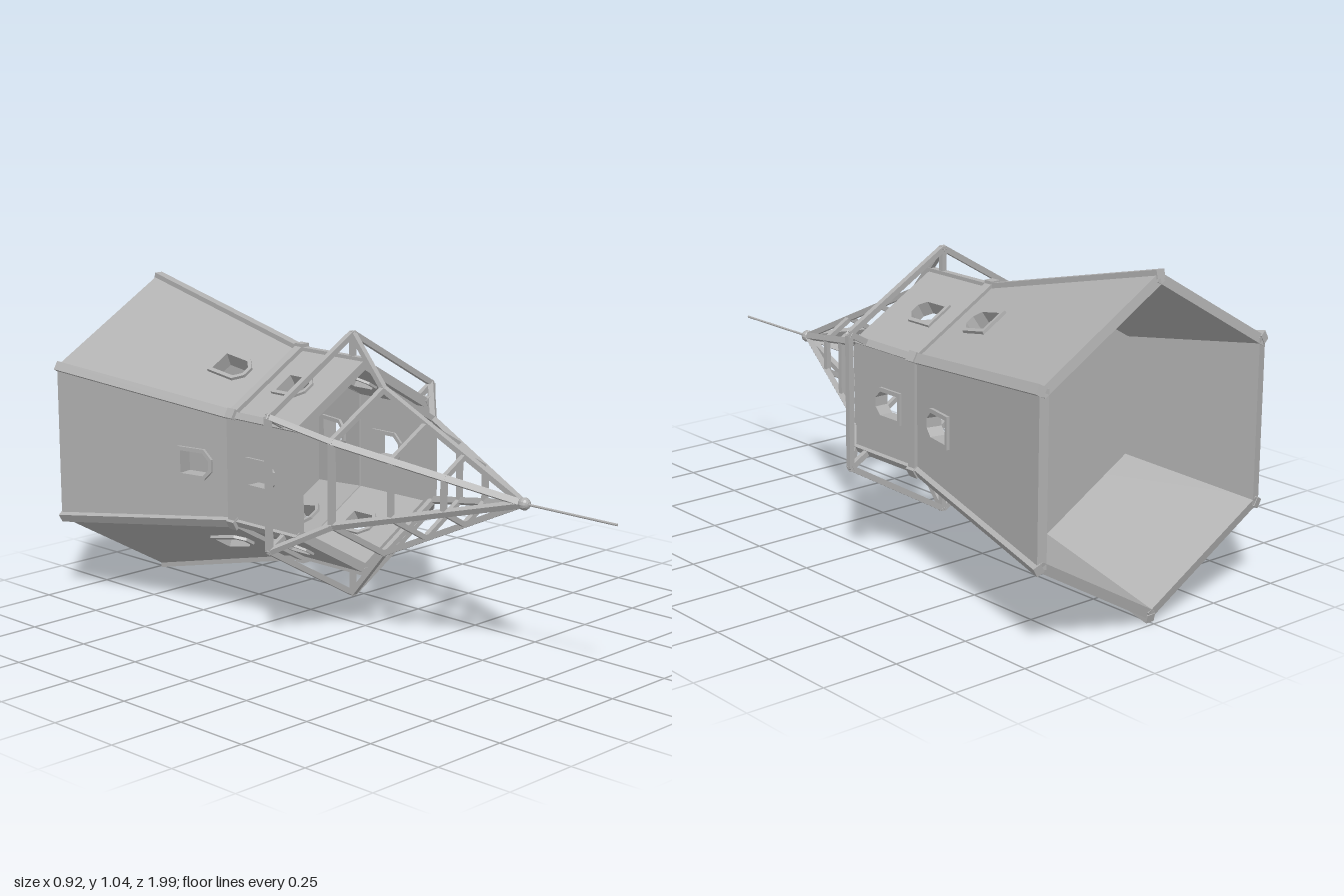
import * as THREE from 'three';

const STEP = Math.PI / 3;
const V = (x, y, z) => new THREE.Vector3(x, y, z);
// Point at radius r and height h along the hexagon corner k
const corner = (k, r, h) => V(r * Math.sin(k * STEP), h, r * Math.cos(k * STEP));

export function createModel() {
  const grey = new THREE.MeshStandardMaterial({ color: 0xb0b0b0, flatShading: true });
  grey.name = 'stone grey';
  const model = new THREE.Group();
  model.name = 'hexagonalTower';
  // The tower is built upright, then laid down with its spire to the front
  const tower = new THREE.Group();
  tower.name = 'tower';
  tower.rotation.x = Math.PI / 2;
  tower.position.y = 0.523;
  model.add(tower);

  const add = (name, geo, parent = tower) => {
    const m = new THREE.Mesh(geo, grey);
    m.name = name;
    parent.add(m);
    return m;
  };

  // Rectangular bar from a to b; side gives the direction of its width
  function bar(name, a, b, side, w, d) {
    const dir = b.clone().sub(a);
    const len = dir.length();
    dir.normalize();
    const z = side.clone().cross(dir).normalize();
    const x = dir.clone().cross(z).normalize();
    const mid = a.clone().add(b).multiplyScalar(0.5);
    const geo = new THREE.BoxGeometry(w, len, d);
    geo.applyMatrix4(new THREE.Matrix4().makeBasis(x, dir, z).setPosition(mid));
    return add(name, geo);
  }

  // Arched window outline; v0 is the sill, v1 the crown
  function arch(target, w, v0, v1) {
    const c = w * 0.3;
    target.moveTo(-w / 2, v0);
    target.lineTo(w / 2, v0);
    target.lineTo(w / 2, v1 - c);
    target.lineTo(w / 2 - c, v1);
    target.lineTo(-w / 2 + c, v1);
    target.lineTo(-w / 2, v1 - c);
    target.closePath();
    return target;
  }

  // Hexagonal storey of six pierced wall panels with window frames
  function storey(name, r0, h0, r1, h1, thick, sill, crown, proud) {
    const ap = Math.cos(STEP / 2);
    const inset = (r0 - r1) * ap;
    const len = Math.hypot(h1 - h0, inset);
    const wall = new THREE.Shape([
      new THREE.Vector2(-r0 / 2, 0), new THREE.Vector2(r0 / 2, 0),
      new THREE.Vector2(r1 / 2, len), new THREE.Vector2(-r1 / 2, len),
    ]);
    wall.holes.push(arch(new THREE.Path(), 0.075, sill, crown));
    const wallGeo = new THREE.ExtrudeGeometry(wall, { depth: thick, bevelEnabled: false });
    wallGeo.translate(0, 0, -thick);
    const frame = arch(new THREE.Shape(), 0.1, sill - 0.012, crown + 0.012);
    frame.holes.push(arch(new THREE.Path(), 0.074, sill, crown));
    const frameGeo = new THREE.ExtrudeGeometry(frame, { depth: thick + 2 * proud, bevelEnabled: false });
    frameGeo.translate(0, 0, -thick - proud);
    for (let k = 0; k < 6; k++) {
      const side = new THREE.Group();
      side.name = name + 'Side';
      side.rotation.y = (k + 0.5) * STEP;
      const panel = new THREE.Group();
      panel.name = name + 'Panel';
      panel.position.set(0, h0, r0 * ap);
      panel.rotation.x = -Math.atan2(inset, h1 - h0);
      side.add(panel);
      tower.add(side);
      add(name + 'Wall', wallGeo, panel);
      add(name + 'WindowFrame', frameGeo, panel);
    }
  }
  storey('lower', 0.514, -0.984, 0.348, -0.285, 0.03, 0.51, 0.62, 0.01);
  storey('upper', 0.348, -0.285, 0.348, 0, 0.03, 0.075, 0.178, 0.008);

  // Floor inside the lower storey
  const floor = add('floor', new THREE.CylinderGeometry(0.385, 0.385, 0.01, 6));
  floor.position.y = -0.54;

  // Horizontal hexagonal frames
  function ring(name, r, h, w, d) {
    for (let k = 0; k < 6; k++) bar(name, corner(k, r, h), corner(k + 1, r, h), V(0, 1, 0), w, d);
  }
  ring('waistBand', 0.35, -0.285, 0.03, 0.024);
  ring('galleryRail', 0.424, -0.055, 0.018, 0.018);
  ring('spireRing', 0.265, 0.08, 0.018, 0.018);
  ring('spireRing', 0.18, 0.26, 0.016, 0.016);
  ring('spireRing', 0.108, 0.42, 0.016, 0.016);

  // Corner posts, gallery brackets and spire rafters
  for (let k = 0; k < 6; k++) {
    const t = corner(k + 1.5, 1, 0);
    bar('lowerCornerBeam', corner(k, 0.509, -0.987), corner(k, 0.342, -0.285), t, 0.03, 0.026);
    bar('waistKnob', corner(k, 0.347, -0.302), corner(k, 0.347, -0.268), t, 0.032, 0.035);
    bar('upperCornerPost', corner(k, 0.341, -0.285), corner(k, 0.341, 0.002), t, 0.022, 0.024);
    bar('gallerySpoke', corner(k, 0.34, -0.055), corner(k, 0.43, -0.055), t, 0.018, 0.016);
    bar('galleryStrut', corner(k, 0.427, -0.058), corner(k, 0.262, 0.083), t, 0.018, 0.018);
    bar('spireRafter', corner(k, 0.267, 0.076), corner(k, 0, 0.655), t, 0.02, 0.018);
  }

  // Finial ball and needle
  add('finialBall', new THREE.SphereGeometry(0.02, 12, 8)).position.y = 0.655;
  add('needle', new THREE.CylinderGeometry(0.004, 0.004, 0.345, 8)).position.y = 0.8275;

  return model;
}
